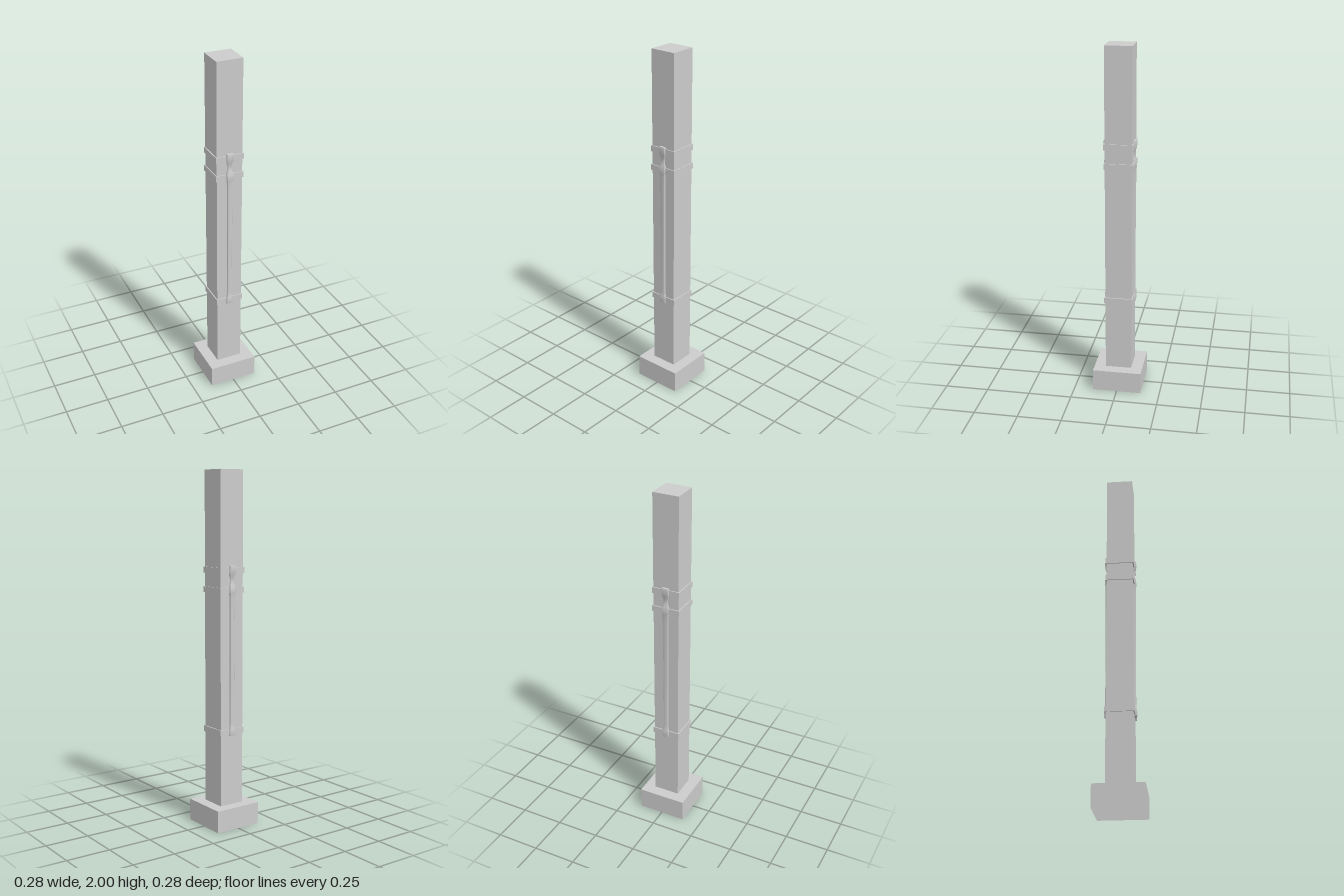
import * as THREE from 'three';

const material = new THREE.MeshStandardMaterial({ color: 0xcccccc, side: THREE.DoubleSide });

function add(parent, name, geometry, y = 0) {
  const mesh = new THREE.Mesh(geometry, material);
  mesh.name = name;
  mesh.position.y = y;
  parent.add(mesh);
  return mesh;
}

function box(parent, name, half, y0, y1) {
  return add(parent, name, new THREE.BoxGeometry(half * 2, y1 - y0, half * 2), (y0 + y1) / 2);
}

// Square block without its underside
function openBlock(half, height) {
  const g = new THREE.BoxGeometry(half * 2, height, half * 2);
  const bottom = g.groups[3];
  const index = Array.from(g.index.array);
  index.splice(bottom.start, bottom.count);
  g.setIndex(index);
  g.clearGroups();
  return g;
}

// Vertical strap lofted through [y, half width, outer z] stations, corners eased
function strapGeometry(stations, backZ) {
  const pos = [], idx = [], n = 6;
  for (const [y, w, z] of stations) {
    const e = 0.004;
    const ring = [[-w, backZ], [-w, z - e], [-w + e, z], [w - e, z], [w, z - e], [w, backZ]];
    for (const [px, pz] of ring) pos.push(px, y, pz);
  }
  for (let i = 0; i < stations.length - 1; i++) {
    for (let j = 0; j < n - 1; j++) {
      const a = i * n + j, b = a + 1, c = a + n, d = c + 1;
      idx.push(a, b, d, a, d, c);
    }
  }
  // end caps with their own vertices
  for (const row of [0, stations.length - 1]) {
    const start = pos.length / 3;
    for (let j = 0; j < n; j++) pos.push(...pos.slice((row * n + j) * 3, (row * n + j) * 3 + 3));
    for (let j = 1; j < n - 1; j++) {
      if (row === 0) idx.push(start, start + j + 1, start + j);
      else idx.push(start, start + j, start + j + 1);
    }
  }
  const g = new THREE.BufferGeometry();
  g.setAttribute('position', new THREE.Float32BufferAttribute(pos, 3));
  g.setIndex(idx);
  g.computeVertexNormals();
  return g;
}

export function createModel() {
  const model = new THREE.Group();
  model.name = 'squarePost';

  add(model, 'base', openBlock(0.14, 0.125), 0.0625);
  box(model, 'shaft', 0.075, 0.06, 2);

  // Three thin bands around the shaft
  for (const [y0, y1] of [[0.533, 0.567], [1.33, 1.363], [1.438, 1.472]]) {
    box(model, 'band', 0.081, y0, y1);
  }

  // Ornamental strap with knobs at the bands, front and back
  const strap = strapGeometry([
    [0.528, 0.019, 0.088], [0.54, 0.02, 0.09], [0.56, 0.02, 0.09], [0.575, 0.016, 0.087],
    [0.6, 0.013, 0.084], [0.95, 0.014, 0.085], [1.25, 0.016, 0.086], [1.31, 0.016, 0.086],
    [1.33, 0.019, 0.089], [1.345, 0.02, 0.09], [1.365, 0.02, 0.088], [1.38, 0.015, 0.083],
    [1.4, 0.012, 0.081], [1.418, 0.014, 0.082], [1.436, 0.02, 0.087], [1.455, 0.021, 0.09],
    [1.475, 0.02, 0.09], [1.482, 0.018, 0.088],
  ], 0.07);
  add(model, 'frontStrap', strap);
  add(model, 'backStrap', strap).rotation.y = Math.PI;

  return model;
}
